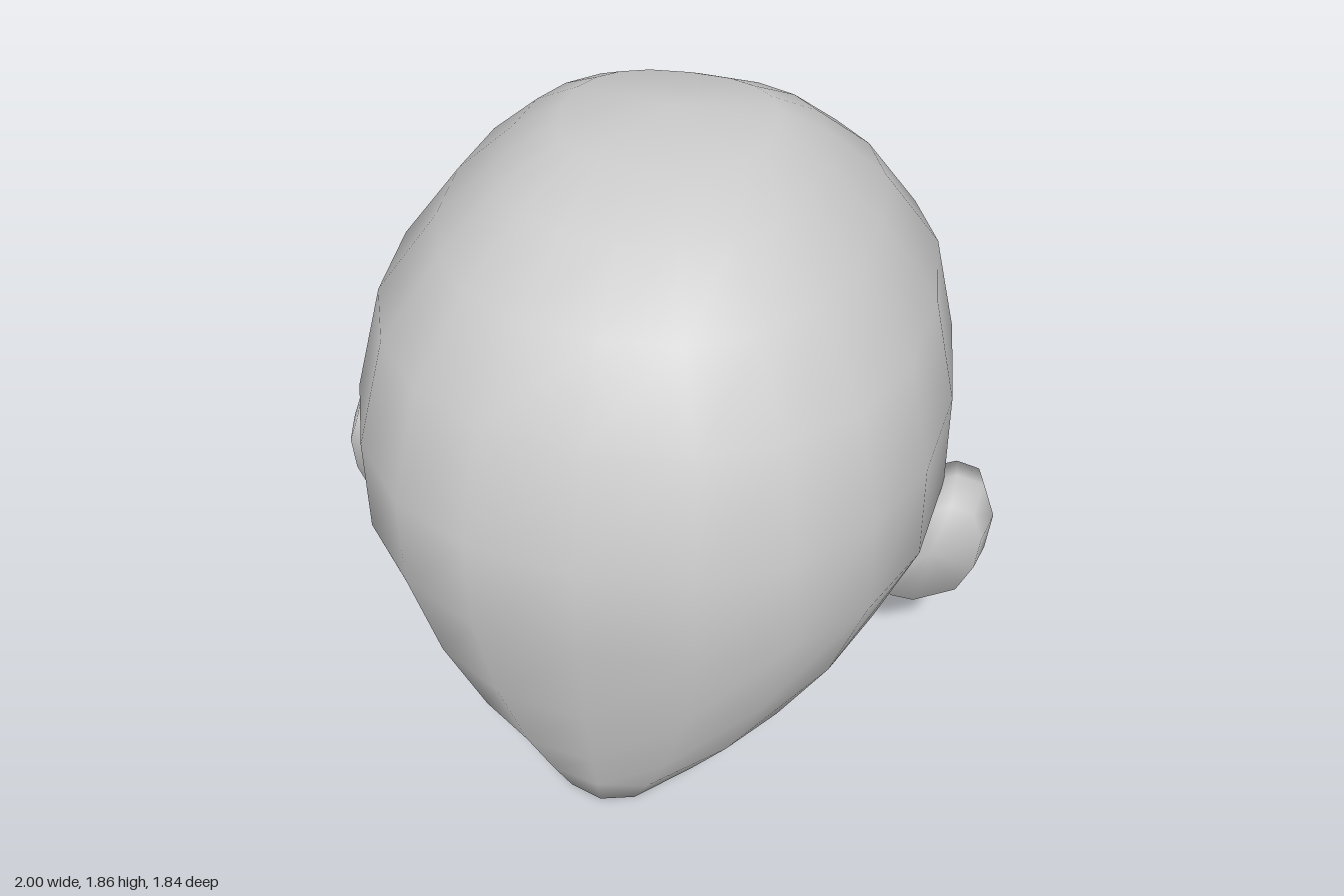
import * as THREE from 'three';
import { mergeVertices } from 'three/addons/utils/BufferGeometryUtils.js';

const skin = new THREE.MeshStandardMaterial({ color: 0xcccccc, side: THREE.DoubleSide });
skin.name = 'plain grey';

// Joins closed loops of [x, y, z] points into one smooth skin.
function loft(loops) {
  const n = loops[0].length;
  const index = [];
  for (let j = 0; j < loops.length - 1; j++) {
    for (let i = 0; i < n; i++) {
      const k = (i + 1) % n;
      const a = j * n + i, b = j * n + k, c = a + n, d = b + n;
      index.push(a, c, b, b, c, d);
    }
  }
  let geometry = new THREE.BufferGeometry();
  geometry.setAttribute('position', new THREE.Float32BufferAttribute(loops.flat(2), 3));
  geometry.setIndex(index);
  geometry = mergeVertices(geometry, 1e-4);
  geometry.computeVertexNormals();
  return geometry;
}

// Horizontal egg-shaped loop, a little squarer at the back than at the front.
function headLoop([y, width, front, back, middle]) {
  const points = [];
  const power = (v, p) => Math.sign(v) * Math.abs(v) ** p;
  for (let i = 0; i < 20; i++) {
    const a = (i / 20) * Math.PI * 2;
    const c = Math.abs(Math.cos(a)) < 1e-9 ? 0 : Math.cos(a);
    const s = Math.abs(Math.sin(a)) < 1e-9 ? 0 : Math.sin(a);
    const p = 2 / (s > 0 ? 2.25 : 2.5);
    const z = middle + power(s, p) * (s > 0 ? front - middle : middle - back);
    // The underside arches up around the neck opening.
    const arch = y < 0.02 ? 0.033 * Math.exp(-(((z - 0.1) / 0.25) ** 2)) : 0;
    points.push([power(c, p) * width, y + arch, z]);
  }
  return points;
}

// Height, half width, front z, back z, z of the widest point; neck opening first.
const HEAD = [
  [0.012, 0.20, 0.28, -0.18, 0.04],
  [0.003, 0.23, 0.68, -0.22, 0.06],
  [0.035, 0.27, 0.76, -0.32, 0.08],
  [0.13, 0.40, 0.785, -0.52, 0.08],
  [0.28, 0.57, 0.825, -0.69, 0.04],
  [0.52, 0.735, 0.875, -0.84, 0],
  [0.80, 0.845, 0.91, -0.91, 0],
  [1.10, 0.835, 0.925, -0.91, 0],
  [1.40, 0.76, 0.815, -0.82, -0.02],
  [1.62, 0.59, 0.665, -0.67, -0.04],
  [1.76, 0.43, 0.46, -0.49, -0.06],
  [1.835, 0.29, 0.23, -0.34, -0.08],
  [1.865, 0, -0.08, -0.08, -0.08],
];

// Ear outline seen from the front.
const EAR = [
  [1.0, 0.70], [0.96, 0.81], [0.88, 0.83], [0.80, 0.79], [0.70, 0.60],
  [0.66, 0.42], [0.72, 0.37], [0.80, 0.365], [0.94, 0.45], [0.99, 0.57],
];

function earGeometry(side) {
  // z and scale of each loop, from the front cap to the back cap
  const steps = [[0.1, 0], [0.1, 0.84], [0, 1], [-0.11, 0.84], [-0.11, 0]];
  const outline = side > 0 ? EAR : [...EAR].reverse();
  return loft(steps.map(([z, s]) =>
    outline.map(([x, y]) => [side * (0.84 + (x - 0.84) * s), 0.6 + (y - 0.6) * s, z])));
}

export function createModel() {
  const model = new THREE.Group();
  model.name = 'headWithEars';

  const head = new THREE.Mesh(loft(HEAD.map(headLoop)), skin);
  head.name = 'head';
  model.add(head);

  for (const side of [1, -1]) {
    const ear = new THREE.Mesh(earGeometry(side), skin);
    ear.name = side > 0 ? 'leftEar' : 'rightEar';
    model.add(ear);
  }
  return model;
}
